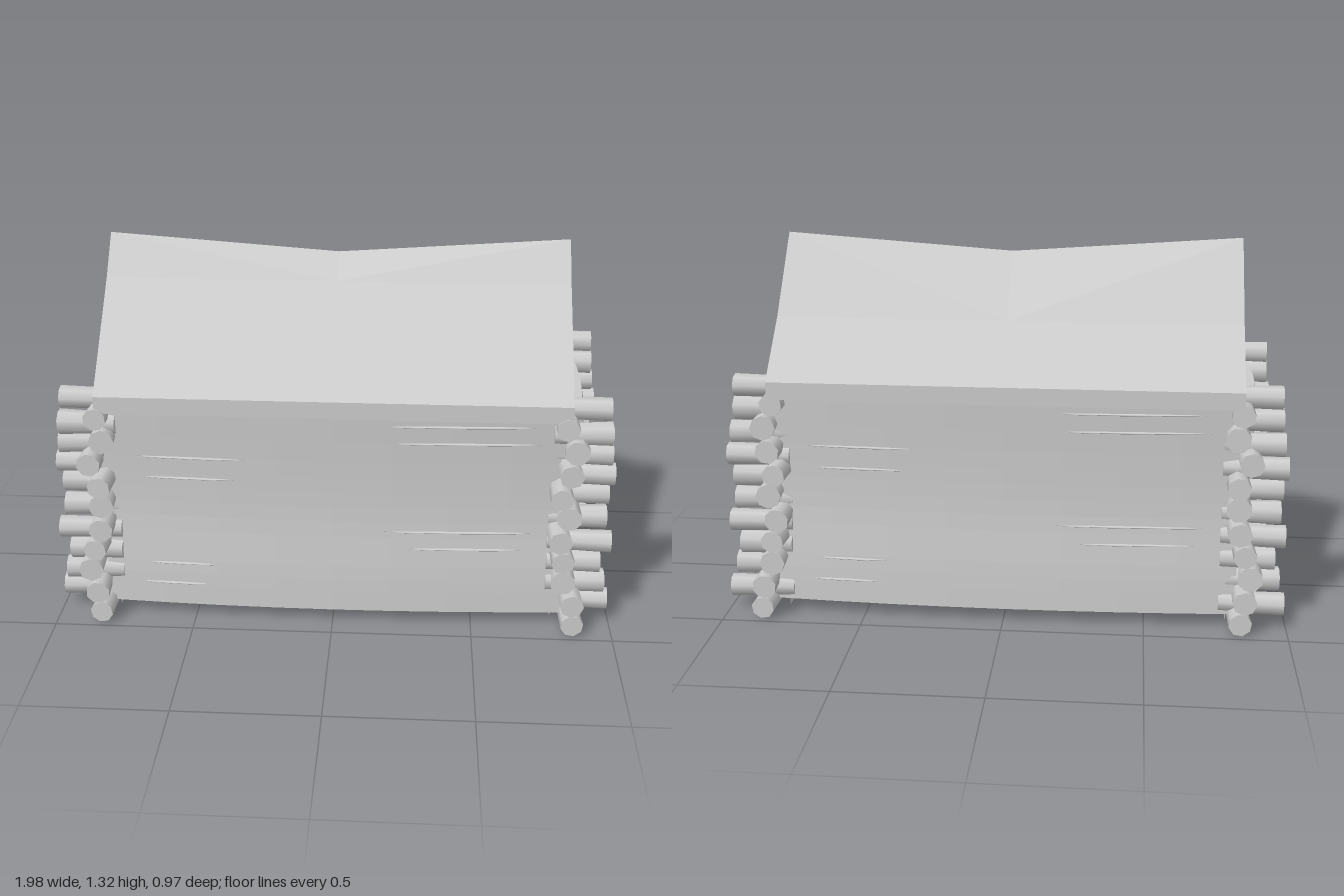
import * as THREE from 'three';

const grey = new THREE.MeshStandardMaterial({ color: 0xcccccc, side: THREE.DoubleSide });
grey.name = 'plain grey';

function add(parent, geometry, name) {
  const mesh = new THREE.Mesh(geometry, grey);
  mesh.name = name;
  parent.add(mesh);
  return mesh;
}

// Wall built with +x outward and z along its length, then turned into place
function makeWall(name, turn, w, centres) {
  const wall = new THREE.Group();
  wall.name = name;
  const curve = new THREE.SplineCurve(w.outer.map(([x, y]) => new THREE.Vector2(x, y)));
  const bow = (z) => 0.028 * Math.max(0, 1 - (z / w.half) ** 2);

  // Hollow shell, open underneath: flat inner face, top, bowed outer face
  const outer = curve.getPoints(14).reverse();
  const bottom = outer[14].y, top = outer[0].y;
  const path = [new THREE.Vector2(w.inner, bottom), new THREE.Vector2(w.inner, top), ...outer];
  const columns = 8;
  const panel = new THREE.PlaneGeometry(2 * w.half, 1, columns, path.length - 1);
  const pos = panel.attributes.position;
  for (let i = 0; i < pos.count; i++) {
    const row = Math.floor(i / (columns + 1));
    const z = -pos.getX(i);
    pos.setXYZ(i, path[row].x + (row > 1 ? bow(z) : 0), path[row].y, z);
  }
  const facets = panel.toNonIndexed();
  facets.computeVertexNormals();
  add(wall, facets, 'wallPanel');

  // Flared log ends sticking out at both corners
  for (const side of [-1, 1]) {
    centres.forEach((x, i) => {
      const length = w.ends[i] - w.start;
      const log = new THREE.CylinderGeometry(0.041 + 0.002 * (i % 3), 0.037, length, 8);
      log.rotateY(i * 1.3 + side);
      log.rotateX(side * Math.PI / 2);
      const mesh = add(wall, log, 'logEnd');
      mesh.position.set(x, w.firstY + i * 0.0822, side * (w.start + length / 2));
      mesh.rotation.y = 0.05 * Math.sin(i * 1.9 + side);
    });
  }

  // Slim ridges where logs show through the panel
  const samples = curve.getPoints(80);
  for (const [z, y, halfLength] of w.seams) {
    const near = samples.reduce((a, b) => (Math.abs(b.y - y) < Math.abs(a.y - y) ? b : a));
    const ridge = new THREE.SphereGeometry(1, 10, 6);
    ridge.scale(0.008, 0.004, halfLength);
    const mesh = add(wall, ridge, 'logSeam');
    mesh.position.set(near.x + bow(z), y, z);
    mesh.rotation.y = Math.atan(-0.056 * z / w.half ** 2);
  }
  wall.rotation.y = turn;
  return wall;
}

// Gabled roof block with a ridge that sags in the middle
function makeRoof() {
  const ring = (x, ridge) => [
    [0.43, 0.81], [0.43, 0.872], [0.1, 1.195], [-0.015, ridge],
    [-0.24, 1.06], [-0.44, 0.872], [-0.44, 0.81], [0, 0.81],
  ].map(([z, y]) => [x, y, z]);
  const rings = [ring(-0.82, 1.328), ring(0, 1.27), ring(0.817, 1.328)];
  const points = [];
  const tri = (...corners) => corners.forEach((c) => points.push(...c));
  for (let s = 0; s < 2; s++) {
    for (let j = 0; j < 8; j++) {
      const k = (j + 1) % 8;
      const a = rings[s][j], b = rings[s + 1][j], c = rings[s + 1][k], d = rings[s][k];
      if ((s === 0) === (j < 3)) { tri(a, b, d); tri(b, c, d); }
      else { tri(a, b, c); tri(a, c, d); }
    }
  }
  // Gable ends
  for (let j = 0; j < 6; j++) {
    tri(rings[0][7], rings[0][j], rings[0][j + 1]);
    tri(rings[2][7], rings[2][j + 1], rings[2][j]);
  }
  const geometry = new THREE.BufferGeometry();
  geometry.setAttribute('position', new THREE.Float32BufferAttribute(points, 3));
  geometry.computeVertexNormals();
  return geometry;
}

export function createModel() {
  const cabin = new THREE.Group();
  cabin.name = 'logCabin';

  const longWall = {
    outer: [[0.39, 0.05], [0.385, 0.2], [0.37, 0.4], [0.37, 0.6], [0.38, 0.83]],
    inner: 0.31, half: 0.82, start: 0.76, firstY: 0.092,
    ends: [0.99, 0.97, 0.95, 0.985, 0.965, 0.97, 0.985, 0.97, 0.96, 0.955],
    seams: [[-0.44, 0.775, 0.27], [-0.46, 0.71, 0.27], [0.5, 0.63, 0.2], [0.51, 0.55, 0.17],
      [-0.44, 0.365, 0.27], [-0.47, 0.3, 0.21], [0.54, 0.215, 0.13], [0.57, 0.135, 0.13]],
  };
  const endWall = {
    outer: [[0.89, 0.005], [0.89, 0.08], [0.86, 0.22], [0.845, 0.42], [0.85, 0.62], [0.86, 0.76], [0.85, 0.825]],
    inner: 0.79, half: 0.35, start: 0.3, firstY: 0.048,
    ends: [0.48, 0.485, 0.465, 0.47, 0.475, 0.45, 0.47, 0.455, 0.44, 0.435],
    seams: [[0.02, 0.74, 0.18], [0, 0.67, 0.2], [0, 0.34, 0.19], [-0.01, 0.26, 0.2]],
  };
  cabin.add(
    makeWall('frontWall', -Math.PI / 2, longWall,
      [0.345, 0.365, 0.365, 0.368, 0.34, 0.316, 0.333, 0.34, 0.365, 0.337]),
    makeWall('backWall', Math.PI / 2, longWall,
      [0.375, 0.35, 0.36, 0.36, 0.344, 0.33, 0.354, 0.344, 0.325, 0.333]),
    makeWall('leftWall', 0, endWall,
      [0.853, 0.85, 0.82, 0.81, 0.795, 0.828, 0.795, 0.82, 0.84, 0.805]),
    makeWall('rightWall', Math.PI, endWall,
      [0.83, 0.845, 0.866, 0.84, 0.818, 0.818, 0.812, 0.848, 0.805, 0.82]),
  );
  add(cabin, makeRoof(), 'roof');
  return cabin;
}
